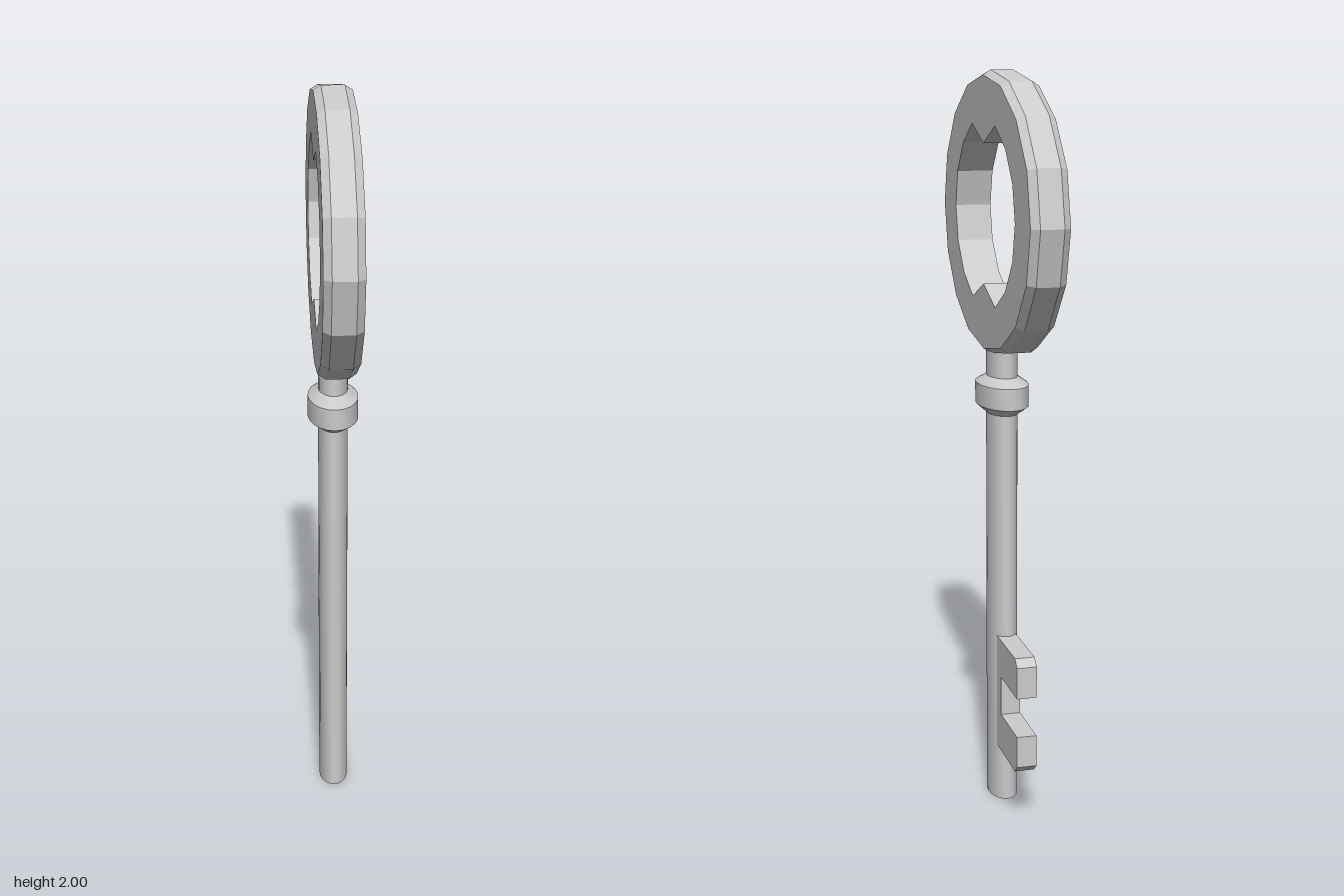
import * as THREE from 'three';
import { toCreasedNormals } from 'three/addons/utils/BufferGeometryUtils.js';

const material = new THREE.MeshStandardMaterial({ color: 0xcccccc });
const flatMaterial = new THREE.MeshStandardMaterial({ color: 0xcccccc, flatShading: true });

// Oval turned part: a lathe stretched along z
function ovalLathe(name, profile) {
  const points = profile.map(([r, y]) => new THREE.Vector2(r, y));
  const geometry = toCreasedNormals(new THREE.LatheGeometry(points, 20), 0.6);
  geometry.scale(1, 1, 1.75);
  const mesh = new THREE.Mesh(geometry, material);
  mesh.name = name;
  return mesh;
}

// Oval handle: a cross-section of hole wall, faces, bevels and rim swept round 16 sides
function createBow() {
  const sides = 16, centerY = 1.63;
  const hole = { rz: 0.32, ry: 0.25, notch: 0.183 };
  const face = { rz: 0.463, ry: 0.357 };
  const rim = { rz: 0.48, ry: 0.37 };
  const section = [[0.05, hole], [0.05, face], [0.03, rim], [-0.03, rim], [-0.05, face], [-0.05, hole]];
  const positions = [], indices = [];
  const count = section.length;
  for (let i = 0; i < sides; i++) {
    const angle = (i / sides) * Math.PI * 2;
    const atNotch = i % 8 === 4; // points jutting into the hole at top and bottom
    for (const [x, oval] of section) {
      const ry = atNotch && oval.notch ? oval.notch : oval.ry;
      positions.push(x, centerY + ry * Math.sin(angle), oval.rz * Math.cos(angle));
    }
    for (let j = 0; j < count; j++) {
      const next = ((i + 1) % sides) * count, k = (j + 1) % count;
      const a = i * count + j, b = next + j, c = next + k, d = i * count + k;
      indices.push(a, b, c, a, c, d);
    }
  }
  const indexed = new THREE.BufferGeometry();
  indexed.setAttribute('position', new THREE.Float32BufferAttribute(positions, 3));
  indexed.setIndex(indices);
  const geometry = indexed.toNonIndexed();
  geometry.computeVertexNormals();
  const mesh = new THREE.Mesh(geometry, flatMaterial);
  mesh.name = 'bow';
  return mesh;
}

// Two-pronged bit with clipped outer corners, pointing to -z
function createBit() {
  const thickness = 0.054;
  const outline = [
    [0.03, 0.16], [0.243, 0.16], [0.265, 0.18], [0.265, 0.266], [0.098, 0.266],
    [0.098, 0.374], [0.265, 0.374], [0.265, 0.46], [0.243, 0.48], [0.03, 0.48],
  ];
  const shape = new THREE.Shape(outline.map(([u, v]) => new THREE.Vector2(u, v)));
  const geometry = new THREE.ExtrudeGeometry(shape, { depth: thickness, bevelEnabled: false });
  geometry.translate(0, 0, -thickness / 2);
  geometry.rotateY(Math.PI / 2);
  const mesh = new THREE.Mesh(geometry, flatMaterial);
  mesh.name = 'bit';
  return mesh;
}

export function createModel() {
  const key = new THREE.Group();
  key.name = 'key';
  key.add(
    ovalLathe('shaft', [[0, 0], [0.04, 0], [0.04, 1.3], [0, 1.3]]),
    ovalLathe('collar', [[0.036, 1.098], [0.04, 1.098], [0.068, 1.122], [0.068, 1.18], [0.04, 1.2], [0.036, 1.2]]),
    createBow(),
    createBit(),
  );
  return key;
}
